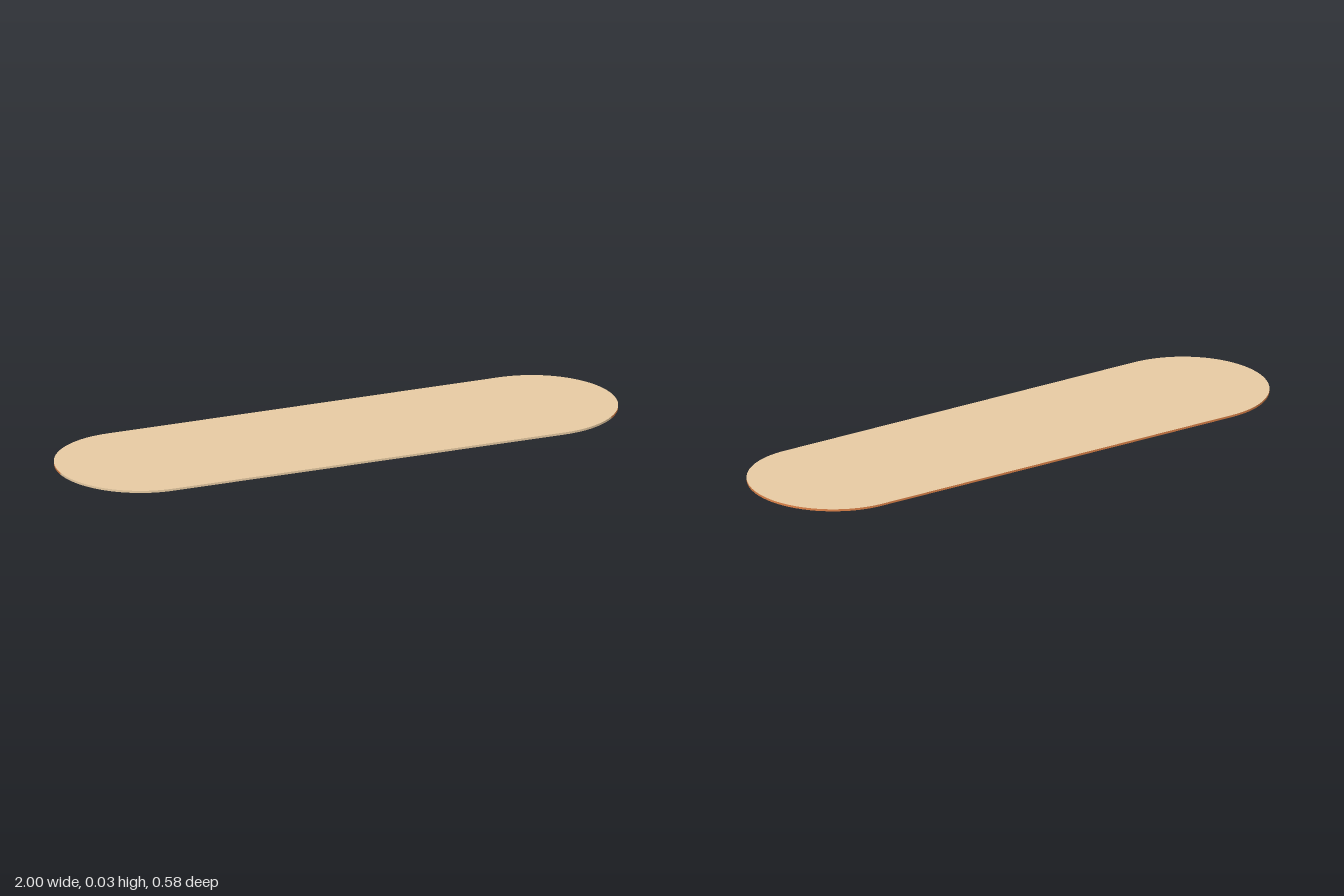
import * as THREE from 'three';

const tan = new THREE.MeshStandardMaterial({ name: 'tanFabric', color: 0xe6caa2 });
const brown = new THREE.MeshStandardMaterial({ name: 'brownAdhesive', color: 0xdb8148 });

const HALF = 1, RADIUS = 0.29;
const LOW = 0.0125, HIGH = 0.02;

function addPart(group, name, geometry, material, z = 0) {
  const mesh = new THREE.Mesh(geometry, material);
  mesh.name = name;
  mesh.position.z = z;
  group.add(mesh);
}

// Rectangle with rounded corners; corner radius equal to hz gives round ends
function roundedRect(hx, hz, r) {
  const s = new THREE.Shape();
  const h = Math.PI / 2;
  s.absarc(hx - r, hz - r, r, 0, h, false);
  s.absarc(-hx + r, hz - r, r, h, 2 * h, false);
  s.absarc(-hx + r, -hz + r, r, 2 * h, 3 * h, false);
  s.absarc(hx - r, -hz + r, r, 3 * h, 4 * h, false);
  s.closePath();
  return s;
}

// Flat horizontal face at height y, facing up or down
function flatFace(shape, y, up) {
  const geo = new THREE.ShapeGeometry(shape, 24);
  geo.rotateX(up ? -Math.PI / 2 : Math.PI / 2);
  geo.translate(0, y, 0);
  return geo;
}

// Rim wall following the strip outline from angle a0 to a1 (0 is +x, 90 degrees is +z)
function rimWall(a0, a1) {
  const steps = 48;
  const c = HALF - RADIUS;
  const positions = [], normals = [], index = [];
  for (let i = 0; i <= steps; i++) {
    const a = a0 + (a1 - a0) * i / steps;
    const nx = Math.cos(a), nz = Math.sin(a);
    // Each end arc keeps its own centre; the long sides join the two arcs
    const side = nx >= 0 ? c : -c;
    for (const y of [LOW, HIGH]) {
      positions.push(side + nx * RADIUS, y, nz * RADIUS);
      normals.push(nx, 0, nz);
    }
    if (i < steps) {
      const k = i * 2;
      index.push(k, k + 1, k + 2, k + 1, k + 3, k + 2);
    }
  }
  const geo = new THREE.BufferGeometry();
  geo.setAttribute('position', new THREE.Float32BufferAttribute(positions, 3));
  geo.setAttribute('normal', new THREE.Float32BufferAttribute(normals, 3));
  geo.setIndex(index);
  return geo;
}

// Box with sloping sides; vertical normals blend it softly into the strip
function softPad(y0, y1, bottom, top, facing) {
  const geo = new THREE.BoxGeometry(2, 1, 2);
  const p = geo.attributes.position;
  for (let i = 0; i < p.count; i++) {
    const up = p.getY(i) > 0;
    const [hx, hz] = up ? top : bottom;
    p.setXYZ(i, p.getX(i) * hx, up ? y1 : y0, p.getZ(i) * hz);
    geo.attributes.normal.setXYZ(i, 0, facing, 0);
  }
  return geo;
}

export function createModel() {
  const group = new THREE.Group();
  group.name = 'adhesiveBandage';

  // Strip faces
  const outline = roundedRect(HALF, RADIUS, RADIUS);
  addPart(group, 'fabricTop', flatFace(outline, HIGH, true), tan);
  addPart(group, 'adhesiveUnderside', flatFace(outline, LOW, false), brown);

  // Rim: fabric along the front, adhesive around the ends and back
  const split = Math.PI / 4;
  addPart(group, 'fabricRim', rimWall(split, Math.PI), tan);
  addPart(group, 'adhesiveRim', rimWall(Math.PI, Math.PI * 2 + split), brown);

  // Raised centre above and below
  addPart(group, 'raisedFabric', softPad(0.0185, 0.032, [0.4, 0.206], [0.378, 0.181], 1), tan, 0.004);
  addPart(group, 'padBacking', softPad(0.001, 0.014, [0.378, 0.182], [0.4, 0.203], -1), brown, 0.004);

  // Gauze face underneath
  addPart(group, 'gauzePad', flatFace(roundedRect(0.37, 0.18, 0.035), 0, false), tan, 0.004);

  return group;
}
